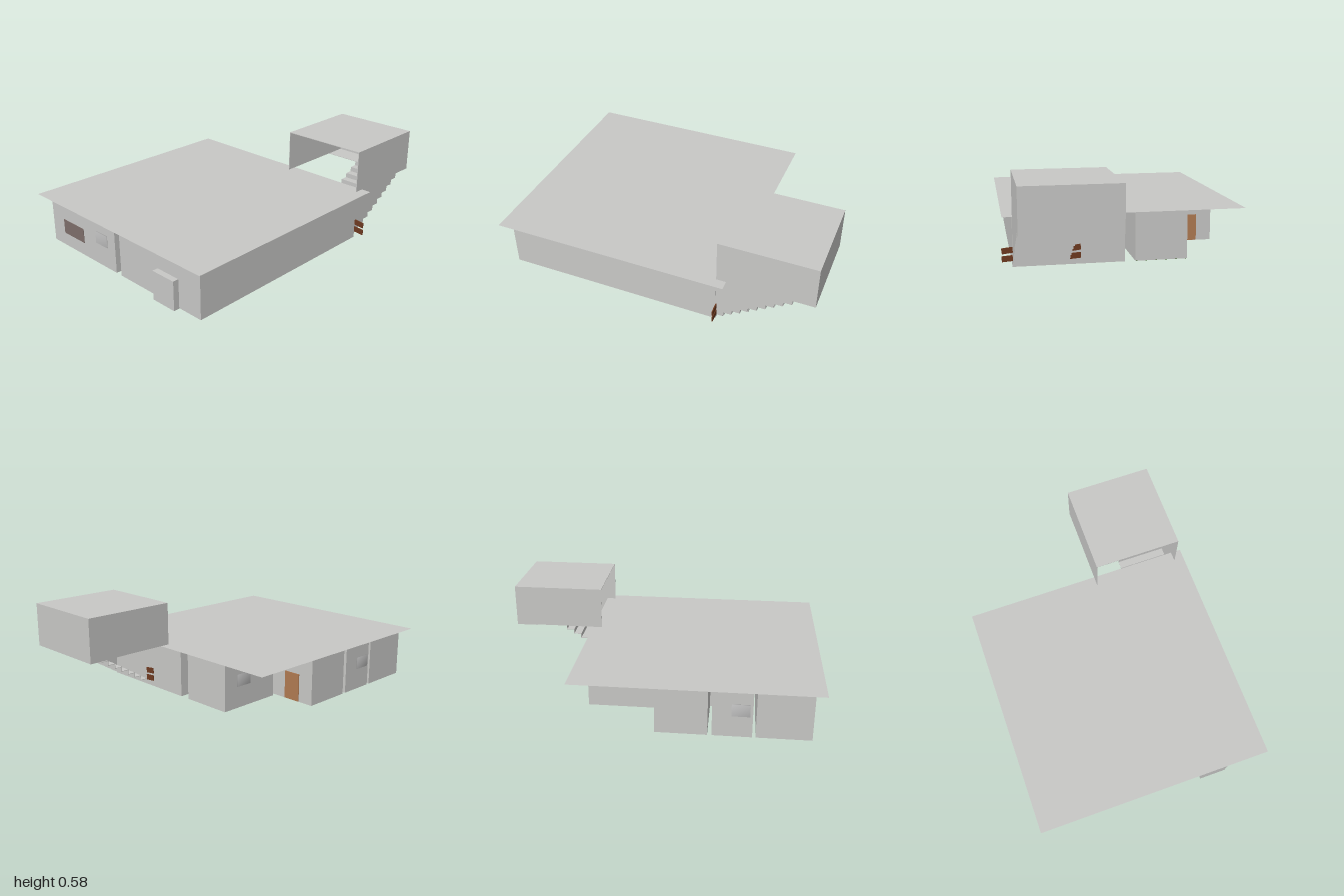
import * as THREE from 'three';
import { mergeVertices } from 'three/addons/utils/BufferGeometryUtils.js';

const mat = (name, color, side = THREE.FrontSide) => {
  const m = new THREE.MeshStandardMaterial({ color, side });
  m.name = name;
  return m;
};

export function createModel() {
  const plaster = mat('plaster', 0xc8c8c6, THREE.DoubleSide);
  const glass = mat('glass', 0xc0c0c0);
  const panelMat = mat('panelBrownGrey', 0x7d6e6a);
  const wood = mat('darkWood', 0x6e3a20);
  const doorWood = mat('doorWood', 0xb07a52);
  const green = mat('greenFloor', 0x40692a);
  const maroon = mat('maroonFloor', 0x6d3220);
  const blue = mat('blueRug', 0x98b8e8);

  const house = new THREE.Group();
  house.name = 'house';
  const add = (name, geo, material) => {
    const m = new THREE.Mesh(geo, material);
    m.name = name;
    house.add(m);
    return m;
  };
  // Box given by its limits on each axis
  const block = (name, x0, x1, y0, y1, z0, z1, material) => {
    const g = new THREE.BoxGeometry(x1 - x0, y1 - y0, z1 - z0);
    g.translate((x0 + x1) / 2, (y0 + y1) / 2, (z0 + z1) / 2);
    return add(name, g, material);
  };
  const ROOF = 0.317, WALL = 0.314, BASE = 0.003;

  // Main building: front hall, corridor and side wing on one floor plan
  const plan = new THREE.Shape([
    [0, 0.94], [0.675, 0.94], [0.675, -0.42], [0, -0.42], [0, 0.025], [-0.68, 0.025],
    [-0.68, 0.335], [-0.33, 0.335], [-0.33, 0.585], [0, 0.585],
  ].map(([x, z]) => new THREE.Vector2(x, z)));
  const mainGeo = new THREE.ExtrudeGeometry(plan, { depth: WALL - BASE, bevelEnabled: false });
  mainGeo.rotateX(Math.PI / 2);
  mainGeo.translate(0, WALL, 0);
  add('mainBuilding', mainGeo, plaster);

  // Separate rooms, with narrow gaps between them
  block('frontRoom', -0.68, -0.045, BASE, WALL, 0.615, 0.94, plaster);
  block('sideRoom', -0.68, -0.37, BASE, WALL, 0.36, 0.595, plaster);
  block('backRoom', -0.39, -0.065, BASE, WALL, -0.42, 0, plaster);

  // Coloured floors and rugs showing on the underside
  block('backRoomFloor', -0.385, -0.07, 0.001, BASE, -0.415, -0.005, green);
  block('sideRoomFloor', -0.67, -0.38, 0.001, BASE, 0.365, 0.59, maroon);
  block('frontRoomRug', -0.66, -0.1, 0.001, BASE, 0.74, 0.85, blue);
  block('backRoomRug', -0.29, -0.18, 0, 0.002, -0.18, -0.06, blue);
  block('backRoomTable', -0.31, -0.24, 0, 0.002, -0.35, -0.25, wood);
  block('sideRoomBench', -0.55, -0.5, 0, 0.002, 0.41, 0.54, wood);
  block('sideRoomBenchArm', -0.5, -0.43, 0, 0.002, 0.41, 0.45, wood);
  for (let i = 0; i < 3; i++) {
    block('frontRoomSeat', -0.36 - i * 0.12, -0.28 - i * 0.12, 0, 0.002, 0.755, 0.8, wood);
  }

  // Flat overhanging roof
  const roof = new THREE.PlaneGeometry(1.475, 1.48);
  roof.rotateX(-Math.PI / 2);
  roof.translate(-0.0025, ROOF, 0.26);
  add('roof', roof, plaster);

  // Front porch block, wall panel and doors
  block('frontDoor', 0.335, 0.505, 0, 0.182, 0.94, 0.977, plaster);
  block('frontPanel', -0.56, -0.355, 0.09, 0.183, 0.938, 0.943, panelMat);
  block('patioDoor', -0.58, -0.47, 0.005, 0.18, 0.02, 0.027, doorWood);

  // Softly shaded window panes
  const pane = (name, x, y, z, turn) => {
    let g = new THREE.BoxGeometry(0.108, 0.076, 0.008);
    g.deleteAttribute('normal');
    g.deleteAttribute('uv');
    g = mergeVertices(g);
    g.computeVertexNormals();
    const m = add(name, g, glass);
    m.position.set(x, y, z);
    m.rotation.y = turn;
  };
  pane('frontWindow', -0.172, 0.178, 0.941, 0);
  pane('sideWindow', -0.681, 0.175, 0.525, -Math.PI / 2);
  pane('backRoomWindow', -0.391, 0.175, -0.265, -Math.PI / 2);

  // Stair: thin zigzag of treads and risers
  const X0 = 0.345, X1 = 0.67, steps = 9, run = 0.05, rise = 0.031;
  for (let i = 0; i < steps; i++) {
    const y = 0.036 + i * rise, z = -0.417 - i * run;
    block('stairTread', X0, X1, y, y + 0.003, z - run, z, plaster);
    block('stairRiser', X0, X1, y, y + rise, z - run - 0.003, z - run, plaster);
  }
  block('landing', 0.115, X1, ROOF - 0.003, ROOF, -1, -0.866, plaster);

  // Upper stair room: open at the front and below
  const TOP = 0.583;
  block('stairRoomRoof', 0.115, 0.672, TOP - 0.003, TOP, -1, -0.42, plaster);
  block('stairRoomBackWall', 0.115, 0.672, ROOF, TOP, -1, -0.997, plaster);
  block('stairRoomRightWall', 0.115, 0.118, ROOF, TOP, -1, -0.42, plaster);

  // Outer wall running down to the stepped edge of the stair
  const side = new THREE.Shape();
  side.moveTo(1, TOP);
  side.lineTo(0.42, TOP);
  side.lineTo(0.42, 0.036);
  for (let i = 0; i < steps; i++) {
    const u = 0.417 + (i + 1) * run;
    side.lineTo(u, 0.036 + i * rise);
    side.lineTo(u, 0.036 + (i + 1) * rise);
  }
  side.lineTo(1, ROOF - 0.002);
  const sideGeo = new THREE.ExtrudeGeometry(side, { depth: 0.003, bevelEnabled: false });
  sideGeo.rotateY(Math.PI / 2);
  sideGeo.translate(0.67, 0, 0);
  add('stairSideWall', sideGeo, plaster);

  // Pairs of tilted boards on both sides of the stair foot
  for (const x of [0.302, 0.706]) {
    for (const [y, tilt] of [[0.105, -0.12], [0.056, -0.08]]) {
      const b = add('stairBoard', new THREE.BoxGeometry(0.066, 0.035, 0.006), wood);
      b.position.set(x, y, -0.424);
      b.rotation.z = tilt;
    }
  }
  return house;
}
